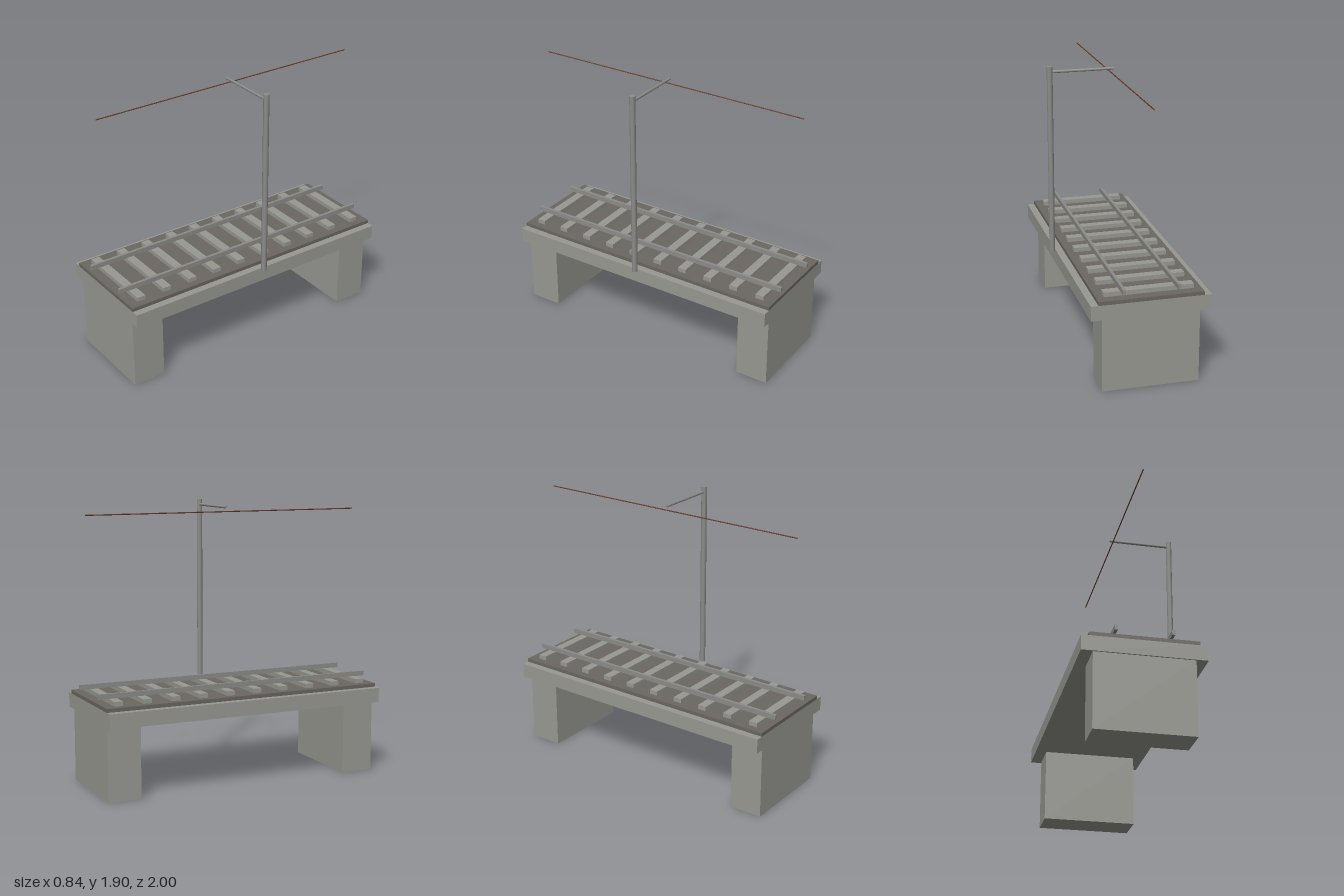
import * as THREE from 'three';

export function createModel() {
  const model = new THREE.Group();
  model.name = 'railwayViaductSection';

  const paint = (name, color) => {
    const m = new THREE.MeshStandardMaterial({ color });
    m.name = name;
    return m;
  };
  const concrete = paint('concrete', 0x999993);
  const ballast = paint('ballast', 0x6b6761);
  const steel = paint('steel', 0x8c8c8a);
  const copper = paint('copper', 0x6b3a24);

  const trackX = -0.0225; // centre line of deck, track and wire

  const add = (name, geometry, material, x, y, z) => {
    const mesh = new THREE.Mesh(geometry, material);
    mesh.name = name;
    mesh.position.set(x, y, z);
    model.add(mesh);
    return mesh;
  };
  // Box resting on height y
  const slab = (name, material, w, h, d, x, y, z) =>
    add(name, new THREE.BoxGeometry(w, h, d), material, x, y + h / 2, z);

  // Piers and deck
  for (const s of [-1, 1]) slab('pier', concrete, 0.645, 0.5, 0.23, trackX, 0, s * 0.875);
  slab('deck', concrete, 0.795, 0.1, 2, trackX, 0.5, 0);
  slab('ballastBed', ballast, 0.695, 0.025, 2, trackX, 0.6, 0);

  // Sleepers and rails
  for (let i = 0; i < 10; i++) slab('sleeper', concrete, 0.595, 0.03, 0.06, trackX, 0.625, -0.9 + i * 0.2);
  for (const s of [-1, 1]) slab('rail', steel, 0.02, 0.033, 2, trackX + s * 0.18, 0.655, 0);

  // Mast beside the deck, with its arm reaching over the track
  add('mast', new THREE.CylinderGeometry(0.02, 0.02, 1.3, 8), steel, 0.4, 1.25, 0);
  add('mastArm', new THREE.CylinderGeometry(0.01, 0.01, 0.435, 8), steel, 0.1825, 1.863, 0)
    .rotation.z = Math.PI / 2;

  // Overhead contact wire
  add('contactWire', new THREE.CylinderGeometry(0.004, 0.004, 2, 6), copper, trackX, 1.832, 0)
    .rotation.x = Math.PI / 2;

  return model;
}
